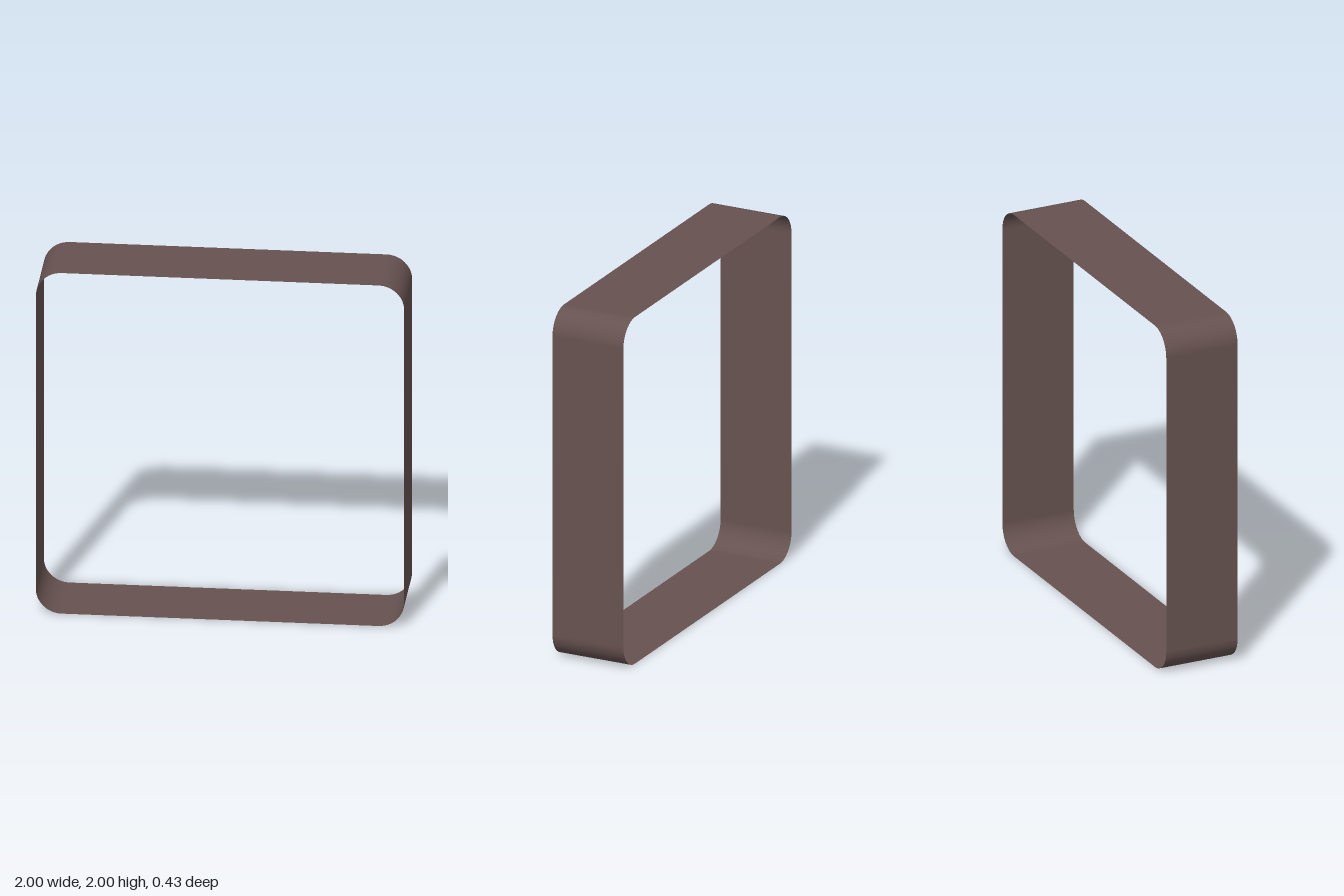
import * as THREE from 'three';

const SIZE = 2, DEPTH = 0.43, RADIUS = 0.14, STEPS = 12;

// Open band: a rounded square outline swept along z, with smooth normals
function bandGeometry() {
  const positions = [], normals = [], indices = [];
  const inner = SIZE / 2 - RADIUS;
  for (let corner = 0; corner < 4; corner++) {
    const mid = (corner + 0.5) * Math.PI / 2;
    const cx = Math.sign(Math.cos(mid)) * inner;
    const cy = Math.sign(Math.sin(mid)) * inner + SIZE / 2;
    for (let i = 0; i <= STEPS; i++) {
      const a = (corner + i / STEPS) * Math.PI / 2;
      const nx = Math.cos(a), ny = Math.sin(a);
      for (const z of [DEPTH / 2, -DEPTH / 2]) {
        positions.push(cx + RADIUS * nx, cy + RADIUS * ny, z);
        normals.push(nx, ny, 0);
      }
    }
  }
  // Join each outline point to the next, closing the loop
  const count = 4 * (STEPS + 1);
  for (let i = 0; i < count; i++) {
    const a = 2 * i, b = 2 * ((i + 1) % count);
    indices.push(a, a + 1, b, b, a + 1, b + 1);
  }
  const geometry = new THREE.BufferGeometry();
  geometry.setAttribute('position', new THREE.Float32BufferAttribute(positions, 3));
  geometry.setAttribute('normal', new THREE.Float32BufferAttribute(normals, 3));
  geometry.setIndex(indices);
  return geometry;
}

export function createModel() {
  const group = new THREE.Group();
  group.name = 'roundedSquareFrame';
  const material = new THREE.MeshStandardMaterial({ color: 0x665250, side: THREE.DoubleSide });
  const band = new THREE.Mesh(bandGeometry(), material);
  band.name = 'frameBand';
  group.add(band);
  return group;
}
